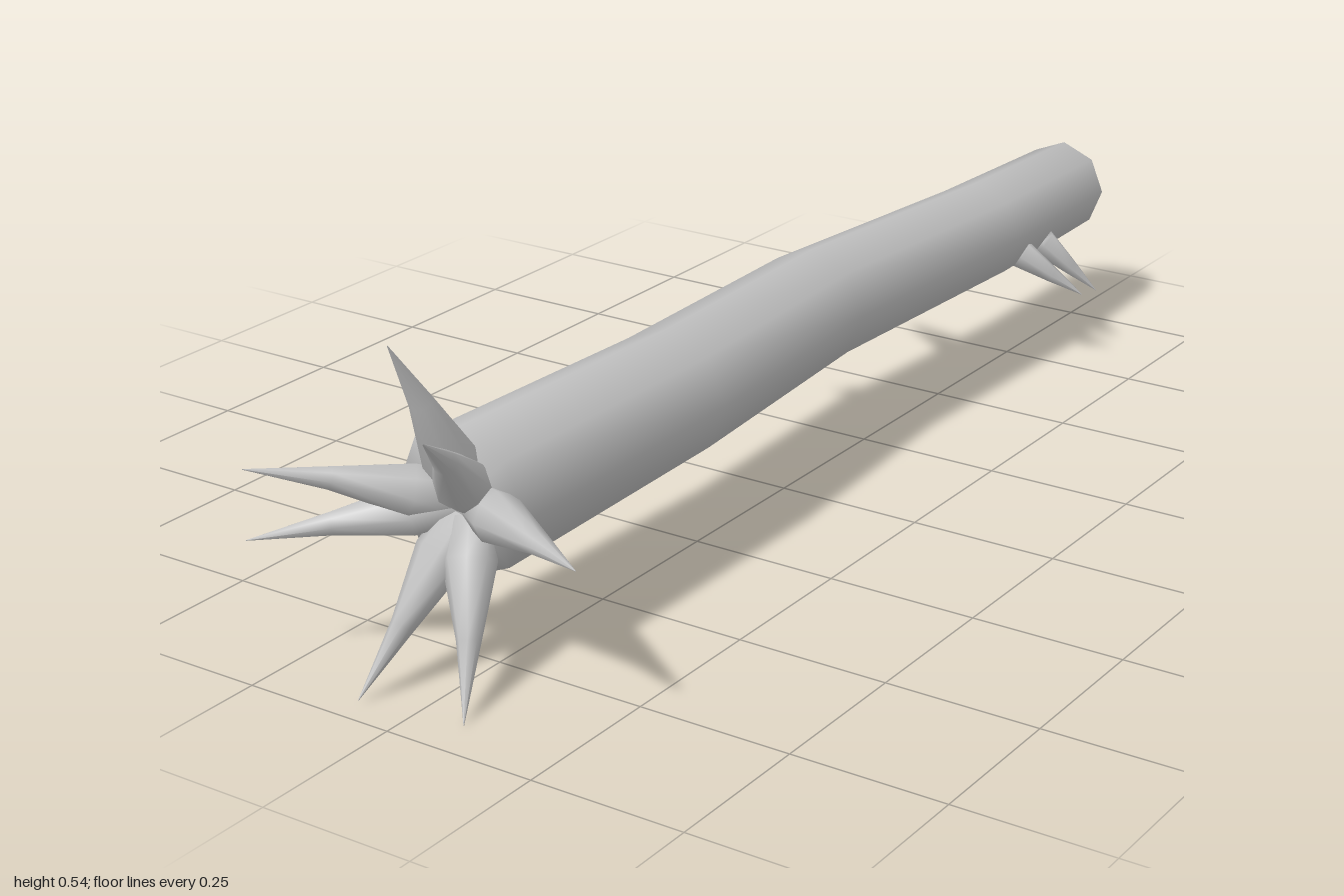
import * as THREE from 'three';

const V = (x, y, z) => new THREE.Vector3(x, y, z);

// Smooth closed loft along centres with one radius each; both ends close on a centre point.
function loft(centres, radii, sides, fixedAxis) {
  const pos = [], idx = [], n = centres.length;
  const up = Math.abs(centres[n - 1].clone().sub(centres[0]).normalize().y) > 0.9 ? V(0, 0, 1) : V(0, 1, 0);
  centres.forEach((c, i) => {
    const t = fixedAxis || centres[Math.min(i + 1, n - 1)].clone().sub(centres[Math.max(i - 1, 0)]).normalize();
    const u = up.clone().cross(t).normalize();
    const v = t.clone().cross(u);
    for (let j = 0; j < sides; j++) {
      const a = (j / sides) * Math.PI * 2;
      const p = c.clone().addScaledVector(u, Math.cos(a) * radii[i]).addScaledVector(v, Math.sin(a) * radii[i]);
      pos.push(p.x, p.y, p.z);
    }
  });
  const start = n * sides, end = start + 1;
  pos.push(...centres[0].toArray(), ...centres[n - 1].toArray());
  for (let j = 0; j < sides; j++) {
    const k = (j + 1) % sides, last = (n - 1) * sides;
    for (let i = 0; i < n - 1; i++) {
      const a = i * sides + j, b = i * sides + k;
      idx.push(a, b, b + sides, a, b + sides, a + sides);
    }
    idx.push(start, k, j, end, last + j, last + k);
  }
  const g = new THREE.BufferGeometry();
  g.setAttribute('position', new THREE.Float32BufferAttribute(pos, 3));
  g.setIndex(idx);
  g.computeVertexNormals();
  return g;
}

export function createModel() {
  const group = new THREE.Group();
  const grey = new THREE.MeshStandardMaterial({ color: 0xbfbfbf });
  grey.name = 'plain grey';
  const add = (name, geometry) => {
    const mesh = new THREE.Mesh(geometry, grey);
    mesh.name = name;
    group.add(mesh);
  };

  // Gently winding eight-sided stem, from the thin back end to the thick front
  add('stem', loft(
    [V(-0.027, 0.255, -1), V(-0.018, 0.263, -0.65), V(-0.042, 0.27, -0.15), V(-0.015, 0.27, 0.3), V(-0.025, 0.265, 0.79)],
    [0.083, 0.09, 0.098, 0.105, 0.115], 8, V(0, 0, 1)));

  // Crown of seven curved spikes bursting from the front end
  const hub = V(-0.025, 0.262, 0.78);
  const crownTips = [
    [-0.026, 0.545, 0.93], [0.088, 0.453, 1], [0.262, 0.277, 0.905], [0.079, 0.004, 0.93],
    [-0.086, 0.009, 0.96], [-0.262, 0.219, 0.98], [-0.24, 0.34, 1],
  ];
  crownTips.forEach((t) => {
    const d = V(...t).sub(hub);
    const at = (f, g) => V(hub.x + d.x * f, hub.y + d.y * f, hub.z + d.z * g);
    add('crownSpike', loft([at(0.1, 0), at(0.28, 0.22), at(0.64, 0.58), at(1, 1)], [0.034, 0.04, 0.018, 0.0005], 8));
  });

  // Small thorns on the sides of the stem: base, tip, base radius
  const thorns = [
    [[0.045, 0.215, -0.79], [0.127, 0.119, -0.85], 0.027],
    [[0.045, 0.215, -0.71], [0.14, 0.137, -0.77], 0.027],
    [[-0.095, 0.255, -0.51], [-0.235, 0.237, -0.58], 0.032],
    [[-0.105, 0.2, -0.28], [-0.167, 0.109, -0.32], 0.027],
  ];
  thorns.forEach(([b, t, r]) => {
    const base = V(...b), tip = V(...t);
    add('thorn', loft([base, base.clone().lerp(tip, 0.5), tip], [r, r * 0.55, 0.0005], 6));
  });
  return group;
}
